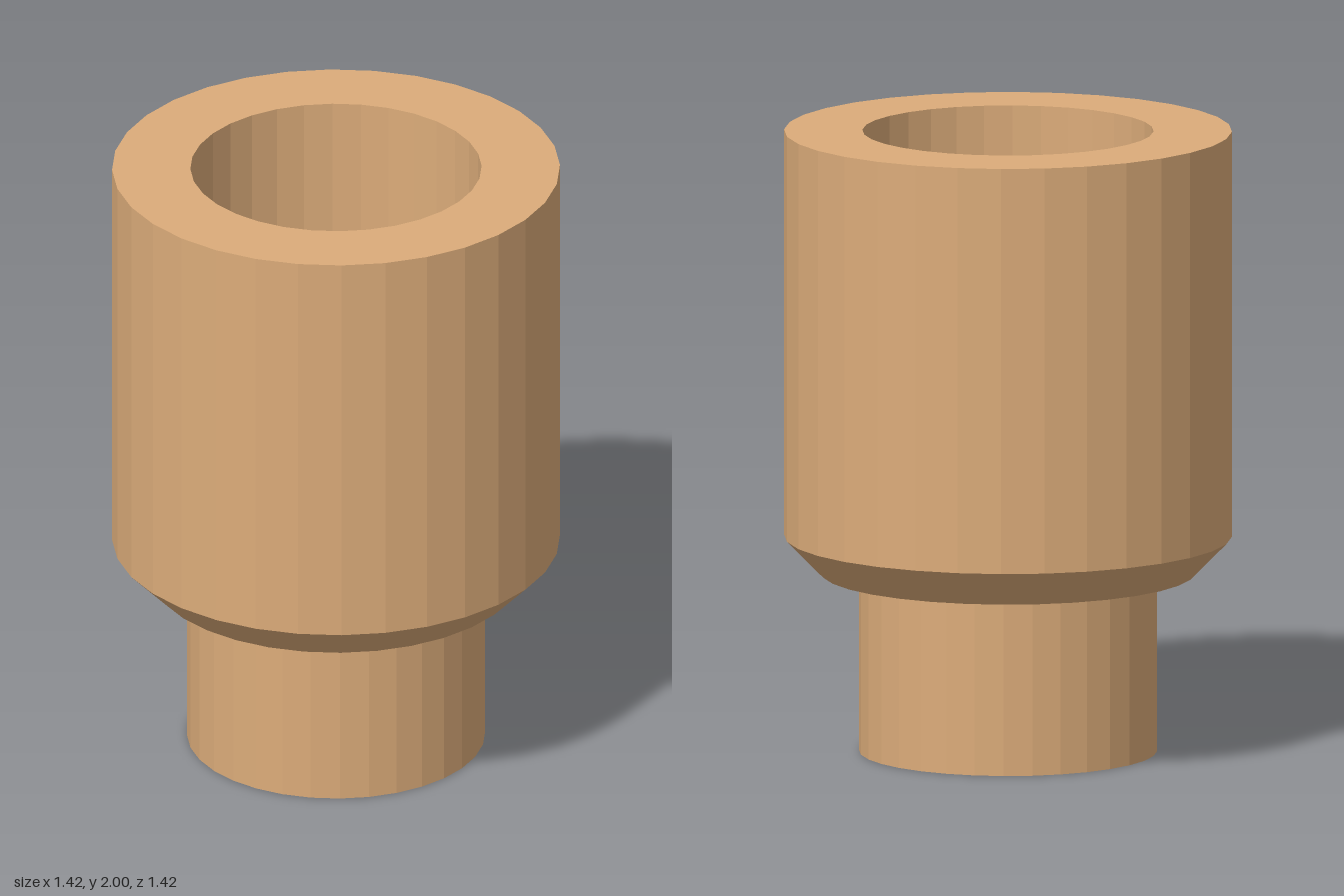
import * as THREE from 'three';

const SIDES = 32;
const BORE = 0.463; // radius of the through hole

export function createModel() {
  const model = new THREE.Group();
  model.name = 'steppedSleeve';

  const material = new THREE.MeshStandardMaterial({ color: 0xdcac7a, flatShading: true });

  // Closed wall section: narrow spigot, shoulder, chamfer, wide collar, then back down the bore
  const section = [
    [BORE, 0],
    [0.474, 0],
    [0.474, 0.574],
    [0.595, 0.574],
    [0.712, 0.693],
    [0.712, 2],
    [BORE, 2],
    [BORE, 0],
  ].map(([r, y]) => new THREE.Vector2(r, y));

  const sleeve = new THREE.Mesh(new THREE.LatheGeometry(section, SIDES), material);
  sleeve.name = 'sleeveBody';
  model.add(sleeve);

  return model;
}
